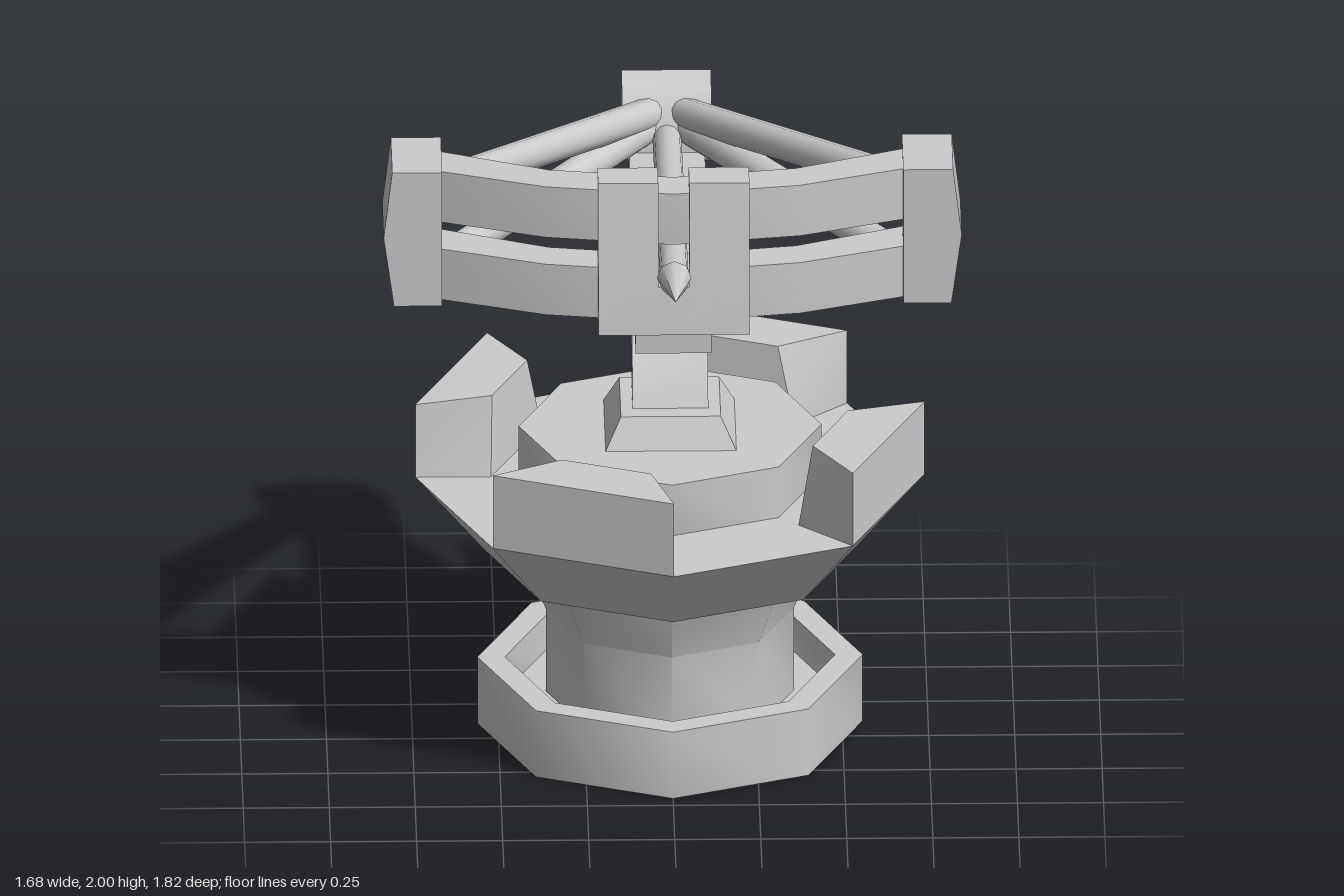
import * as THREE from 'three';
import { toCreasedNormals } from 'three/addons/utils/BufferGeometryUtils.js';

const material = new THREE.MeshStandardMaterial({ color: 0xcccccc });
const AXIS_Z = -0.11; // the tower stands a little behind the middle

export function createModel() {
  const model = new THREE.Group();
  model.name = 'ballistaTower';

  const add = (parent, name, geometry) => {
    const mesh = new THREE.Mesh(toCreasedNormals(geometry, 0.8), material);
    mesh.name = name;
    parent.add(mesh);
    return mesh;
  };
  const shapeOf = (pts) => new THREE.Shape(pts.map(([a, b]) => new THREE.Vector2(a, b)));
  const extrude = (pts, depth) =>
    new THREE.ExtrudeGeometry(shapeOf(pts), { depth, bevelEnabled: false });
  // (z, y) profile extruded across x from x0 to x1
  const sideways = (pts, x0, x1) =>
    extrude(pts, x1 - x0).rotateY(-Math.PI / 2).translate(x1, 0, 0);
  // (x, z) outline extruded up from y0 to y1
  const upward = (pts, y0, y1) =>
    extrude(pts, y1 - y0).rotateX(Math.PI / 2).translate(0, y1, 0);
  const rod = (from, to, r0, r1 = r0, sides = 12) => {
    const a = new THREE.Vector3(...from), b = new THREE.Vector3(...to);
    const dir = b.clone().sub(a);
    const geometry = new THREE.CylinderGeometry(r1, r0, dir.length(), sides);
    geometry.applyQuaternion(new THREE.Quaternion().setFromUnitVectors(
      new THREE.Vector3(0, 1, 0), dir.clone().normalize()));
    const mid = a.add(b).multiplyScalar(0.5);
    return geometry.translate(mid.x, mid.y, mid.z);
  };

  // Octagonal tower
  const tower = new THREE.Group();
  tower.name = 'tower';
  tower.position.z = AXIS_Z;
  model.add(tower);
  const octagon = (name, pts) => add(tower, name,
    new THREE.LatheGeometry(pts.map(([r, y]) => new THREE.Vector2(r, y)), 8));
  octagon('baseRing', [[0, 0], [0.56, 0], [0.56, 0.21], [0.48, 0.21], [0.48, 0.1], [0, 0.1]]);
  octagon('column', [[0.36, 0.1], [0.36, 0.36], [0.44, 0.55]]);
  octagon('bowl', [[0.43, 0.55], [0.54, 0.55], [0.74, 0.78], [0.43, 0.78]]);
  octagon('platform', [[0.44, 0.78], [0.44, 0.94], [0, 0.94]]);

  // Four battlements on every other side, narrowing toward their inner top edge
  for (let i = 0; i < 4; i++) {
    const mid = THREE.MathUtils.degToRad(67.5 + i * 90);
    const geometry = new THREE.BoxGeometry(1, 1, 1);
    const p = geometry.attributes.position;
    for (let k = 0; k < p.count; k++) {
      const outer = p.getZ(k) > 0, top = p.getY(k) > 0;
      const half = THREE.MathUtils.degToRad(!outer && top ? 15.5 : 22.5);
      const angle = mid + Math.sign(p.getX(k)) * half;
      const r = outer ? 0.74 : 0.52;
      p.setXYZ(k, r * Math.sin(angle), top ? 1.01 : 0.78, r * Math.cos(angle));
    }
    add(tower, 'battlement', geometry);
  }

  // Square foot and cranked post
  const foot = new THREE.CylinderGeometry(0.145 * Math.SQRT2, 0.19 * Math.SQRT2, 0.09, 4);
  add(tower, 'foot', foot.rotateY(Math.PI / 4).translate(0, 0.985, 0));
  add(model, 'post', sideways([
    [-0.02, 1.02], [-0.07, 1.12], [-0.27, 1.3], [-0.27, 1.45],
    [-0.46, 1.45], [-0.46, 1.3], [-0.26, 1.12], [-0.215, 1.02],
  ], -0.11, 0.11));

  // Weapon: stock, rear hub, bow and string rods
  const weapon = new THREE.Group();
  weapon.name = 'weapon';
  model.add(weapon);
  add(weapon, 'stock', new THREE.BoxGeometry(0.22, 0.13, 1.245).translate(0, 1.505, -0.1025));
  add(weapon, 'rearHub', sideways([
    [-0.645, 1.55], [-0.75, 1.5], [-0.86, 1.55], [-0.88, 1.67],
    [-0.815, 1.76], [-0.72, 1.74], [-0.65, 1.64],
  ], -0.13, 0.13));

  const front = [[-0.72, 0.34], [-0.37, 0.475], [0, 0.535], [0.37, 0.475], [0.72, 0.34]];
  const back = [[0.72, 0.19], [0.36, 0.35], [0, 0.41], [-0.36, 0.35], [-0.72, 0.19]];
  for (const [name, y0, y1] of [['lowerBow', 1.545, 1.705], ['upperBow', 1.79, 1.95]]) {
    add(weapon, name, upward([...front, ...back], y0, y1));
  }

  for (const s of [-1, 1]) {
    // End cap with a slightly pointed outer face
    const cap = [[0.67, 1.535], [0.81, 1.535], [0.84, 1.75], [0.815, 1.957], [0.67, 1.957]];
    add(weapon, 'bowEndCap',
      extrude(cap.map(([x, y]) => [s * x, y]), 0.26).translate(0, 0, 0.123));
    // Rods cross inside the hub and poke out behind it
    for (const y of [1.635, 1.87]) {
      add(weapon, 'stringRod', rod([s * 0.64, y, 0.235], [-s * 0.06, 1.63, -0.885], 0.048));
    }
    // Leaning guide block
    add(weapon, 'guideBlock', sideways(
      [[0.51, 1.545], [0.63, 1.545], [0.605, 1.77], [0.57, 2], [0.455, 2]],
      s > 0 ? 0.045 : -0.22, s > 0 ? 0.22 : -0.045));
  }
  add(weapon, 'guideBridge', sideways(
    [[0.51, 1.545], [0.63, 1.545], [0.614, 1.69], [0.495, 1.69]], -0.045, 0.045));

  // Bolt resting in the guide, tipped up toward the front
  add(weapon, 'boltShaft', rod([0, 1.605, -0.72], [0, 1.74, 0.67], 0.042));
  add(weapon, 'boltTip', rod([0, 1.74, 0.66], [0, 1.77, 0.905], 0.05, 0.001, 8));

  return model;
}
